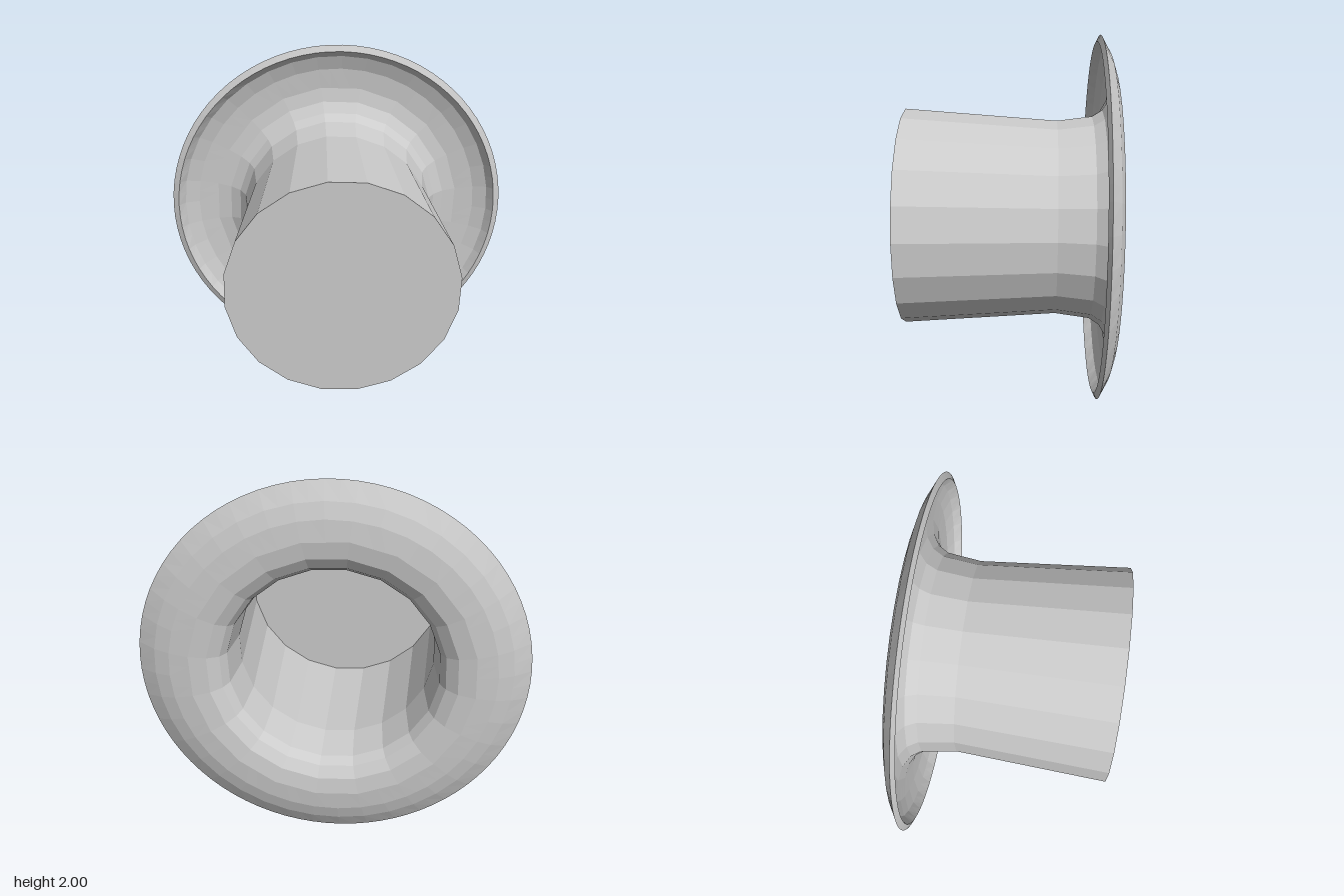
import * as THREE from 'three';

const STEPS = 80;

// Surface of revolution about z whose rings are polygons with their own side count.
// Each profile row is [radius, z, sides].
function facetedTurn(profile, name, material) {
  const points = profile.map(([r, z]) => new THREE.Vector2(r, z));
  const geometry = new THREE.LatheGeometry(points, STEPS);
  const pos = geometry.attributes.position;
  for (let i = 0; i < pos.count; i++) {
    const [r, , sides] = profile[i % profile.length];
    const angle = Math.floor(i / profile.length) / STEPS * Math.PI * 2;
    // slide the vertex onto the chord between the polygon's corners
    const sector = Math.PI * 2 / sides;
    const local = angle - Math.floor(angle / sector + 1e-6) * sector - sector / 2;
    const radius = r * Math.cos(sector / 2) / Math.cos(local);
    pos.setX(i, radius * Math.sin(angle));
    pos.setZ(i, radius * Math.cos(angle));
  }
  geometry.rotateX(Math.PI / 2);
  geometry.rotateZ(THREE.MathUtils.degToRad(7));
  geometry.computeVertexNormals();
  const mesh = new THREE.Mesh(geometry, material);
  mesh.name = name;
  return mesh;
}

export function createModel() {
  const group = new THREE.Group();
  group.name = 'topHat';
  const felt = new THREE.MeshStandardMaterial({ color: 0xcccccc, flatShading: true });

  // hollow lining, from the inside of the top to the opening
  group.add(facetedTurn([
    [0, 0.555, 20], [0.585, 0.555, 20], [0.525, -0.26, 20], [0.55, -0.47, 20],
  ], 'crownLining', felt));

  // brim: rounded outer face, sharp rim, turned-in lip, hollow inner face
  group.add(facetedTurn([
    [0.55, -0.47, 20], [0.58, -0.52, 20], [0.64, -0.557, 20], [0.73, -0.57, 20],
    [0.83, -0.56, 40], [0.91, -0.535, 40], [1, -0.485, 80],
    [0.965, -0.468, 80], [0.93, -0.513, 40], [0.85, -0.543, 40],
    [0.74, -0.553, 20], [0.66, -0.54, 20], [0.6, -0.505, 20], [0.565, -0.45, 20],
  ], 'brim', felt));

  // outside of the crown, flaring from its waist to the flat top
  group.add(facetedTurn([
    [0.565, -0.45, 20], [0.54, -0.26, 20], [0.6, 0.57, 20], [0, 0.57, 20],
  ], 'crown', felt));

  group.position.y = 1;
  const model = new THREE.Group();
  model.name = 'hat';
  model.add(group);
  return model;
}
